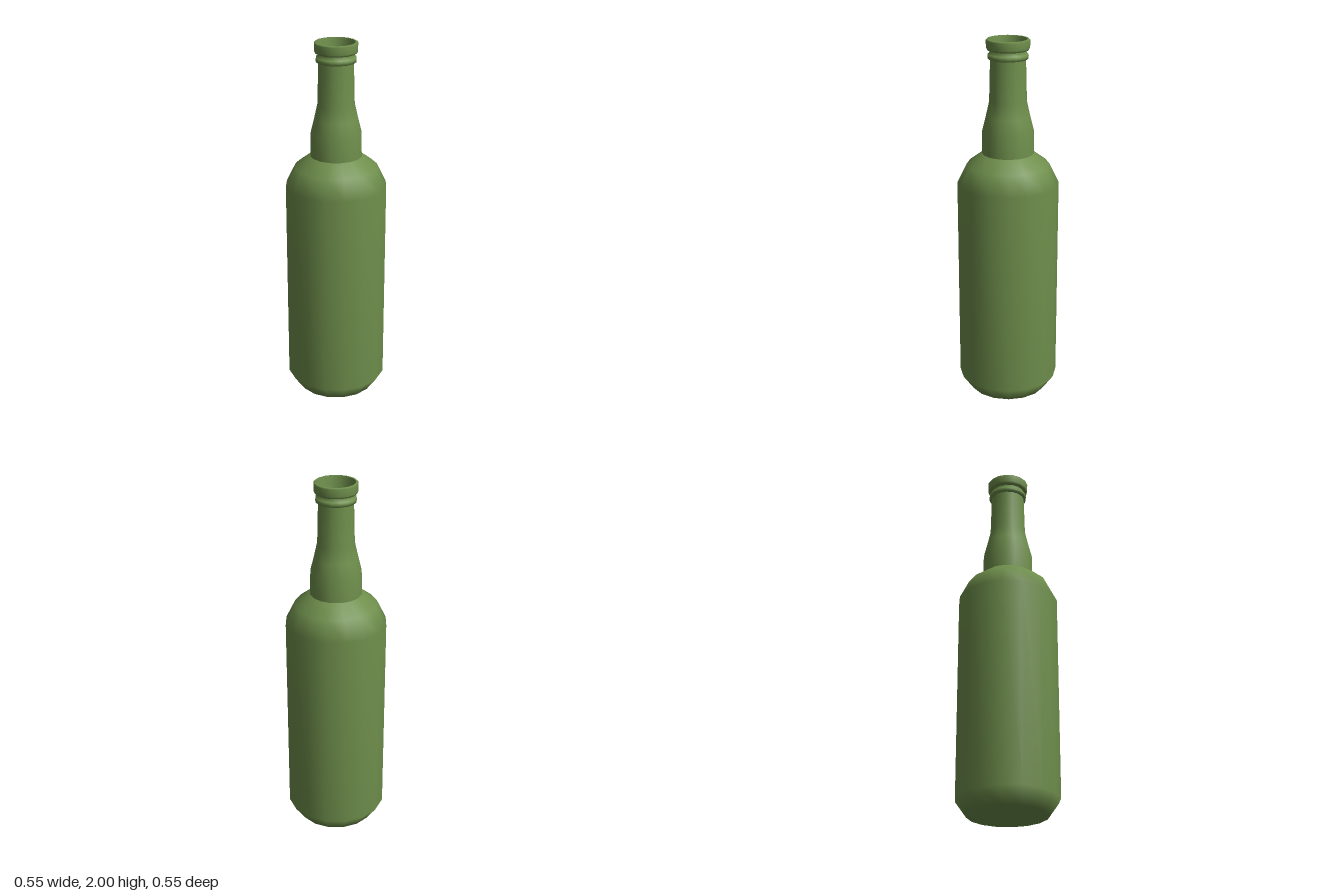
import * as THREE from 'three';

const SIDES = 16;

export function createModel() {
  const bottle = new THREE.Group();
  bottle.name = 'bottle';
  const glass = new THREE.MeshStandardMaterial({ color: 0x6f8f4c, side: THREE.DoubleSide });

  // Turn a [radius, height] profile; upward profiles face out, downward ones face in
  const turn = (name, profile) => {
    const points = profile.map(([r, y]) => new THREE.Vector2(r, y));
    const mesh = new THREE.Mesh(new THREE.LatheGeometry(points, SIDES), glass);
    mesh.name = name;
    bottle.add(mesh);
  };

  // Base, straight wall and rounded shoulder
  turn('body', [[0, 0], [0.215, 0], [0.275, 0.085], [0.275, 1.22], [0.223, 1.325], [0.14, 1.387]]);

  // Bulged lower neck narrowing to a slim upper neck
  turn('neck', [[0.14, 1.387], [0.138, 1.51], [0.118, 1.59], [0.1, 1.67], [0.094, 1.895]]);

  // Thin ring below the lip
  turn('collar', [[0.094, 1.895], [0.106, 1.897], [0.108, 1.91], [0.106, 1.922], [0.095, 1.925], [0.095, 1.942]]);

  // Lip with rounded rim
  turn('lip', [[0.095, 1.942], [0.11, 1.944], [0.115, 1.955], [0.116, 1.994], [0.111, 2], [0.102, 2]]);

  // Inside of the mouth and its floor
  turn('mouthWall', [[0.102, 2], [0.099, 1.98], [0.078, 1.8]]);
  turn('mouthFloor', [[0.078, 1.8], [0, 1.8]]);

  return bottle;
}
